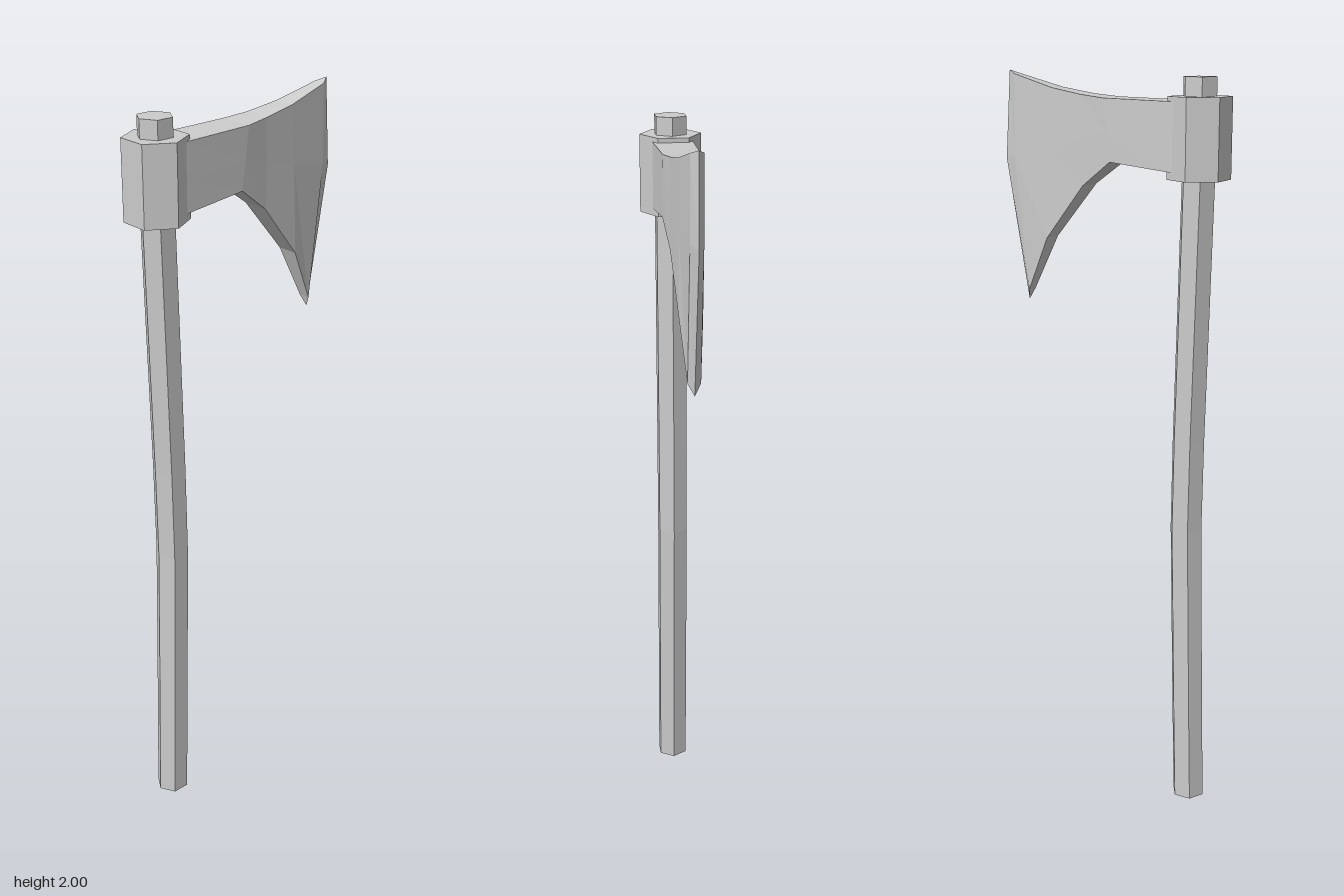
import * as THREE from 'three';

const material = new THREE.MeshStandardMaterial({ color: 0xcccccc, flatShading: true });

// Skin through rings of points, each counter-clockwise as seen from the far end.
function loft(rings, capEnd) {
  const pos = [];
  const tri = (...pts) => {
    const [a, b, c] = pts.map((p) => new THREE.Vector3(...p));
    if (b.sub(a).cross(c.sub(a)).length() > 1e-9) pos.push(...pts.flat()); // drop collapsed faces
  };
  const n = rings[0].length;
  for (let k = 0; k < rings.length - 1; k++) {
    for (let i = 0; i < n; i++) {
      const j = (i + 1) % n;
      tri(rings[k][i], rings[k][j], rings[k + 1][j]);
      tri(rings[k][i], rings[k + 1][j], rings[k + 1][i]);
    }
  }
  const first = rings[0], last = rings[rings.length - 1];
  for (let i = 1; i < n - 1; i++) {
    tri(first[0], first[i + 1], first[i]);
    if (capEnd) tri(last[0], last[i], last[i + 1]);
  }
  const geometry = new THREE.BufferGeometry();
  geometry.setAttribute('position', new THREE.Float32BufferAttribute(pos, 3));
  geometry.computeVertexNormals();
  return geometry;
}

export function createModel() {
  const group = new THREE.Group();
  const add = (name, geometry) => {
    const mesh = new THREE.Mesh(geometry, material);
    mesh.name = name;
    group.add(mesh);
    return mesh;
  };

  // Handle: hexagonal shaft with a gentle bow, as [height, centre z]
  const shaft = [[0, 0.25], [0.3, 0.242], [0.8, 0.23], [1.05, 0.233], [1.74, 0.249], [1.99, 0.25]];
  add('handle', loft(shaft.map(([y, z]) =>
    Array.from({ length: 6 }, (_, i) => {
      const t = Math.PI / 6 + (i * Math.PI) / 3;
      return [0.046 * Math.cos(t), y, z - 0.046 * Math.sin(t)];
    })), true));

  // Collar: hexagonal block with its corners to the sides
  const collar = add('collar', new THREE.CylinderGeometry(0.082, 0.082, 0.205, 6, 1, false, Math.PI / 6 + Math.PI / 3));
  collar.position.set(0, 1.84, 0.25);

  // Blade: sections from collar to cutting edge, as half width, then [z, y] of top, middle, bottom
  const sections = [
    [0.053, [0.21, 1.93], [0.21, 1.84], [0.21, 1.755]],
    [0.048, [0, 1.935], [0.01, 1.85], [0.02, 1.775]],
    [0.038, [-0.07, 1.942], [-0.07, 1.83], [-0.065, 1.71]],
    [0.03, [-0.16, 1.957], [-0.17, 1.8], [-0.18, 1.565]],
    [0.017, [-0.28, 1.99], [-0.285, 1.78], [-0.245, 1.42]],
    [0, [-0.305, 2], [-0.32, 1.77], [-0.255, 1.39]],
  ];
  add('blade', loft(sections.map(([w, ...pts]) => [
    ...pts.map(([z, y]) => [w, y, z]),
    ...pts.map(([z, y]) => [-w, y, z]).reverse(),
  ]), false));

  return group;
}
